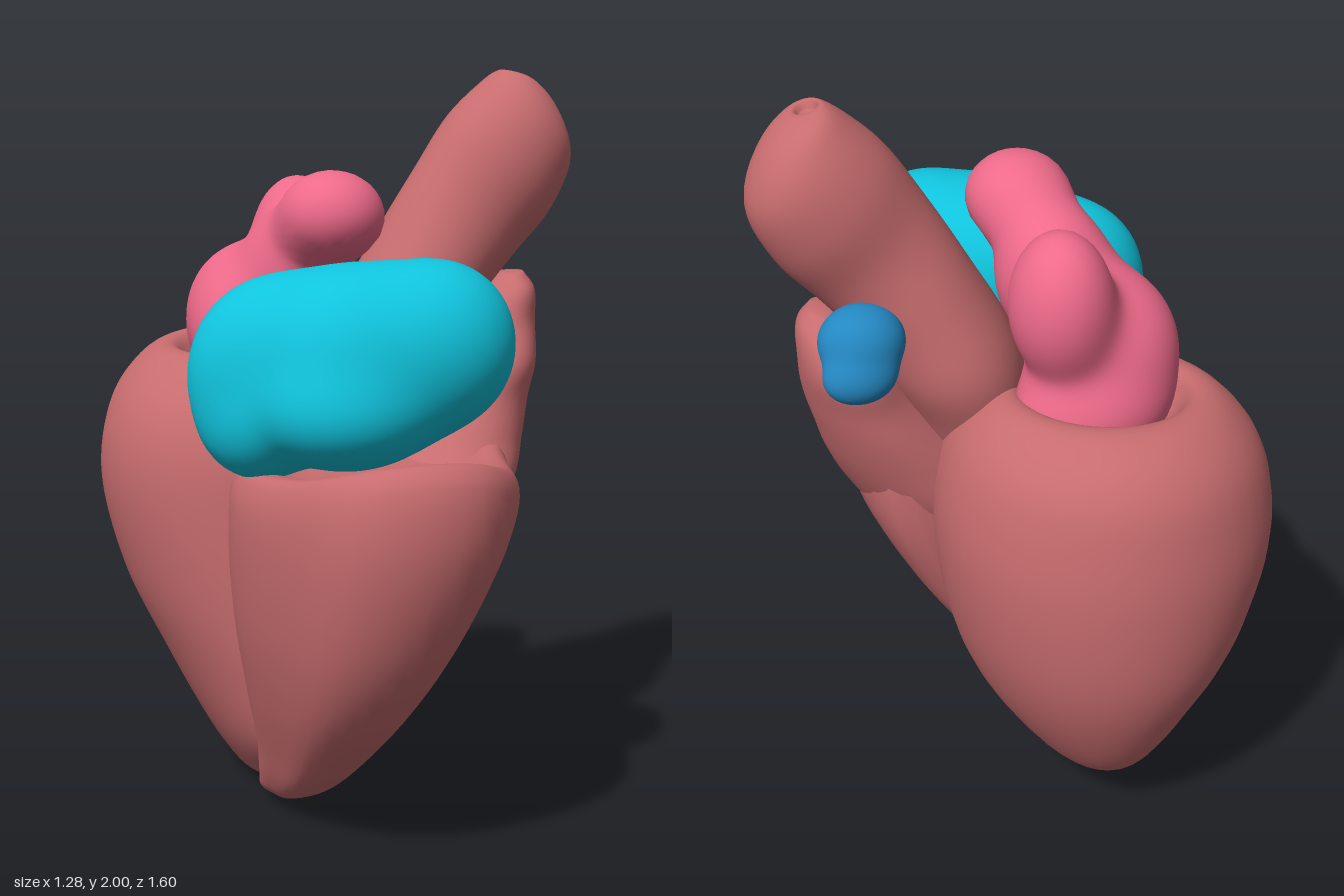
import * as THREE from 'three';
import { mergeVertices } from 'three/addons/utils/BufferGeometryUtils.js';

const V = (x, y, z) => new THREE.Vector3(x, y, z);
const MUSCLE = 0xc76c6e, PINK = 0xee6a8a, CYAN = 0x10c3dc, BLUE = 0x2488c2;

function part(name, color, geometry) {
  const mesh = new THREE.Mesh(geometry, new THREE.MeshStandardMaterial({ color, side: THREE.DoubleSide }));
  mesh.name = name;
  return mesh;
}

// Smooth closed skin through a stack of rings; both ends are closed with a fan
function loft(rings, steps = 48) {
  const n = rings[0].length, pos = [], idx = [];
  const columns = rings[0].map((_, j) =>
    new THREE.CatmullRomCurve3(rings.map(r => r[j]), false, 'centripetal'));
  for (let i = 0; i <= steps; i++)
    for (const c of columns) pos.push(...c.getPoint(i / steps).toArray());
  for (let i = 0; i < steps; i++)
    for (let j = 0; j < n; j++) {
      const a = i * n + j, b = i * n + (j + 1) % n;
      idx.push(a, b, a + n, b, b + n, a + n);
    }
  [rings[0], rings[rings.length - 1]].forEach((ring, end) => {
    const c = pos.length / 3, o = end * steps * n;
    const mid = ring.reduce((s, p) => s.add(p), V(0, 0, 0)).divideScalar(n);
    pos.push(...mid.toArray());
    for (let j = 0; j < n; j++) {
      const a = o + j, b = o + (j + 1) % n;
      end ? idx.push(a, b, c) : idx.push(b, a, c);
    }
  });
  // Turn the faces outward if the enclosed volume is negative
  const at = i => V(pos[3 * i], pos[3 * i + 1], pos[3 * i + 2]);
  let volume = 0;
  for (let i = 0; i < idx.length; i += 3) volume += at(idx[i]).dot(at(idx[i + 1]).cross(at(idx[i + 2])));
  if (volume < 0) idx.reverse();
  const g = new THREE.BufferGeometry();
  g.setAttribute('position', new THREE.Float32BufferAttribute(pos, 3));
  g.setIndex(idx);
  g.computeVertexNormals();
  return g;
}

// Elliptic ring around (x, y, z), tilted in the xy plane by an angle
function ellipse(x, y, z, rx, rz, tilt = 0, n = 40) {
  return Array.from({ length: n }, (_, j) => {
    const a = j / n * Math.PI * 2, u = rx * Math.cos(a);
    return V(x + u * Math.cos(tilt), y + u * Math.sin(tilt), z + rz * Math.sin(a));
  });
}

// Soft union of ellipsoids [x, y, z, rx, ry, rz], seen from one centre and fitted to a box
function blob(center, balls, min, max) {
  let g = new THREE.IcosahedronGeometry(1, 18);
  g.deleteAttribute('normal');
  g.deleteAttribute('uv');
  g = mergeVertices(g, 1e-4);
  const p = g.attributes.position, inside = q => balls.reduce((s, [x, y, z, a, b, c]) =>
    s + Math.exp(2 - 2 * (((q.x - x) / a) ** 2 + ((q.y - y) / b) ** 2 + ((q.z - z) / c) ** 2)), 0) > 1;
  for (let i = 0; i < p.count; i++) {
    const d = V(0, 0, 0).fromBufferAttribute(p, i).normalize();
    let lo = 0, hi = 0.9;
    for (let k = 0; k < 22; k++) {
      const m = (lo + hi) / 2;
      inside(center.clone().addScaledVector(d, m)) ? lo = m : hi = m;
    }
    d.multiplyScalar(lo).add(center);
    p.setXYZ(i, d.x, d.y, d.z);
  }
  g.computeBoundingBox();
  const b = g.boundingBox, s = max.clone().sub(min).divide(b.getSize(V(0, 0, 0)));
  g.translate(-b.min.x, -b.min.y, -b.min.z).scale(s.x, s.y, s.z).translate(min.x, min.y, min.z);
  g.computeVertexNormals();
  return g;
}

function leftVentricle() {
  // y, centre x, centre z, radius x, radius z; the last rows roll over the rim into the cup
  const rows = [
    [0.015, -0.2, -0.2, 0.02, 0.05], [0.04, -0.2, -0.21, 0.08, 0.15], [0.1, -0.2, -0.22, 0.13, 0.25],
    [0.2, -0.19, -0.23, 0.2, 0.36], [0.4, -0.18, -0.27, 0.31, 0.44], [0.6, -0.19, -0.31, 0.39, 0.47],
    [0.85, -0.2, -0.33, 0.44, 0.47], [1.0, -0.2, -0.33, 0.435, 0.455], [1.12, -0.2, -0.33, 0.4, 0.42],
    [1.2, -0.2, -0.33, 0.345, 0.36], [1.25, -0.2, -0.33, 0.28, 0.28], [1.25, -0.2, -0.33, 0.23, 0.22],
    [1.19, -0.2, -0.32, 0.18, 0.17], [1.14, -0.2, -0.32, 0.08, 0.08]];
  const rings = rows.map(([y, x, z, rx, rz]) => ellipse(x, y, z, rx, rz));
  // The rim is higher at the back and on the left
  rings.flat().forEach(p => {
    p.y += (0.05 * (p.x + 0.2) - 0.07 * (p.z + 0.33)) * THREE.MathUtils.smoothstep(p.y, 0.9, 1.2);
  });
  return loft(rings, 64);
}

function rightVentricle() {
  // Crescent outline in a unit box, x then z
  const outline = [[0, 0.48], [0.07, 0.72], [0.19, 0.93], [0.4, 1], [0.63, 0.96], [0.81, 0.76],
    [0.92, 0.48], [1, 0.2], [0.92, 0.03], [0.55, 0.1], [0.12, 0.3]];
  const curve = new THREE.CatmullRomCurve3(outline.map(([u, v]) => V(u, 0, v)), true);
  const unit = curve.getSpacedPoints(48).slice(0, 48);
  // y, then the box each outline fills: x from, x to, z from, z to
  const rows = [
    [0, -0.22, -0.18, -0.06, 0.01], [0.04, -0.28, -0.1, -0.12, 0.11], [0.1, -0.3, -0.06, -0.13, 0.23],
    [0.2, -0.32, 0.0, -0.14, 0.37], [0.4, -0.37, 0.12, -0.2, 0.59], [0.6, -0.41, 0.25, -0.24, 0.72],
    [0.85, -0.43, 0.38, -0.26, 0.8], [0.95, -0.42, 0.4, -0.22, 0.785], [1.0, -0.39, 0.36, -0.14, 0.74],
    [1.005, -0.35, 0.31, -0.07, 0.68], [0.98, -0.28, 0.25, 0, 0.58], [0.97, -0.15, 0.1, 0.15, 0.42]];
  // The rim rises to the front and towards the outflow
  return loft(rows.map(([y, x0, x1, z0, z1]) => unit.map(p => {
    const z = z0 + p.z * (z1 - z0);
    return V(x0 + p.x * (x1 - x0), y + 0.6 * (z - 0.37) ** 2 * THREE.MathUtils.smoothstep(y, 0.8, 1), z);
  })), 60);
}

export function createModel() {
  const heart = new THREE.Group();
  heart.name = 'heart';

  heart.add(part('leftVentricle', MUSCLE, leftVentricle()));
  heart.add(part('rightVentricle', MUSCLE, rightVentricle()));

  // Cone rising from the right ventricle towards the lung artery
  heart.add(part('outflowTract', MUSCLE, loft([
    ellipse(0.1, 0.72, 0.03, 0.18, 0.22), ellipse(0.17, 0.9, 0.04, 0.24, 0.29),
    ellipse(0.25, 1.02, -0.01, 0.215, 0.245), ellipse(0.32, 1.12, -0.04, 0.175, 0.215),
    ellipse(0.375, 1.21, -0.05, 0.145, 0.2), ellipse(0.42, 1.31, -0.085, 0.115, 0.165, 0.1),
    ellipse(0.45, 1.4, -0.07, 0.08, 0.12, 0.1), ellipse(0.46, 1.45, -0.05, 0.035, 0.05, 0.1)], 40)));

  // Aorta: wide root, leaning trunk, rounded end with a small dimple
  heart.add(part('aorta', MUSCLE, loft([
    ellipse(0.08, 1.0, -0.08, 0.12, 0.14), ellipse(0.1, 1.15, -0.09, 0.16, 0.2),
    ellipse(0.14, 1.29, -0.1, 0.175, 0.22, -0.25), ellipse(0.23, 1.46, -0.1, 0.17, 0.185, -0.6),
    ellipse(0.34, 1.62, -0.09, 0.185, 0.16, -0.75), ellipse(0.44, 1.75, -0.09, 0.195, 0.17, -0.75),
    ellipse(0.51, 1.86, -0.09, 0.165, 0.15, -0.65), ellipse(0.51, 1.95, -0.09, 0.095, 0.1, -0.5),
    ellipse(0.48, 1.99, -0.075, 0.035, 0.04, -0.3), ellipse(0.475, 1.97, -0.075, 0.02, 0.025, -0.2)], 48)));

  heart.add(part('rightAtrium', CYAN, blob(V(-0.13, 1.25, 0.36), [
    [-0.3, 1.23, 0.25, 0.2, 0.23, 0.15], [-0.12, 1.29, 0.38, 0.25, 0.22, 0.22],
    [0.06, 1.32, 0.46, 0.17, 0.19, 0.16], [-0.34, 1.11, 0.28, 0.11, 0.11, 0.13],
    [-0.17, 1.16, 0.43, 0.19, 0.13, 0.18]],
  V(-0.53, 0.98, 0.1), V(0.24, 1.54, 0.665))));

  heart.add(part('leftAtrium', PINK, blob(V(-0.17, 1.42, -0.17), [
    [-0.23, 1.32, -0.25, 0.17, 0.2, 0.18], [-0.08, 1.51, -0.33, 0.12, 0.19, 0.13],
    [-0.11, 1.61, 0.07, 0.13, 0.12, 0.13], [-0.15, 1.46, -0.08, 0.14, 0.18, 0.14],
    [-0.25, 1.28, -0.13, 0.15, 0.17, 0.13], [-0.16, 1.2, -0.32, 0.18, 0.13, 0.14]],
  V(-0.42, 1.08, -0.5), V(0.06, 1.74, 0.22))));

  heart.add(part('lungArtery', BLUE, blob(V(0.41, 1.42, -0.26), [
    [0.41, 1.44, -0.25, 0.1, 0.09, 0.1], [0.43, 1.37, -0.31, 0.08, 0.06, 0.06],
    [0.4, 1.42, -0.18, 0.07, 0.04, 0.07]],
  V(0.3, 1.31, -0.37), V(0.52, 1.54, -0.12))));

  return heart;
}
